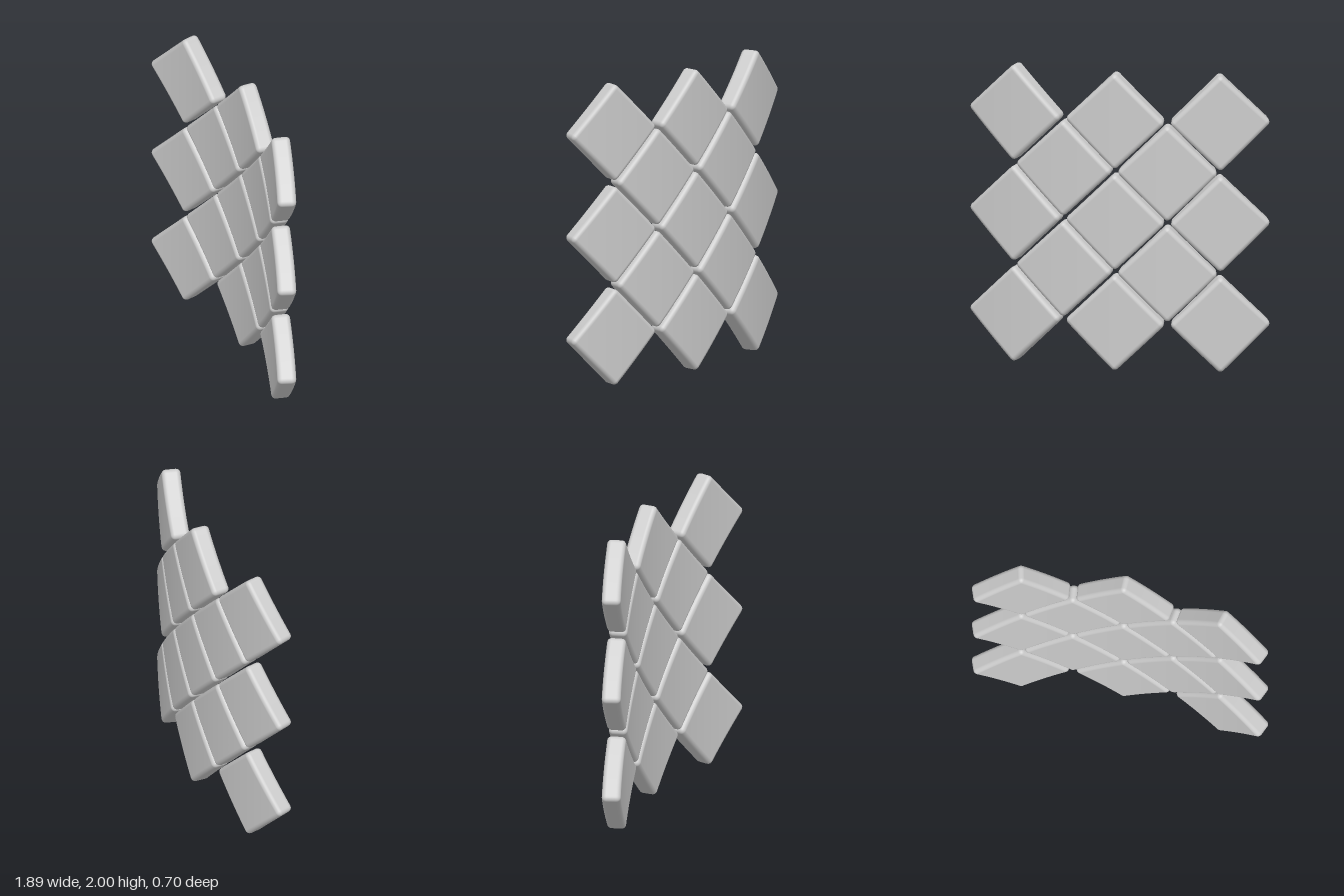
import * as THREE from 'three';

const SIDE = 0.466, DEPTH = 0.125, ROUND = 0.03; // tile size and edge radius
const PITCH = 0.683;                             // spacing along rows and columns
const RADIUS = 2.6375, AXIS_X = -0.77, AXIS_Z = 2.345; // vertical axis the panel bends around
const EDGE = 3;                                  // segments across each rounded edge

// Moves an even grid coordinate (-1..1) so the outer segments fall within the rounded edge
function spread(t, segments, half) {
  const i = Math.round((t + 1) / 2 * segments), inner = segments - 2 * EDGE, core = half - ROUND;
  if (i < EDGE) return -half + ROUND * i / EDGE;
  if (i > segments - EDGE) return half - ROUND * (segments - i) / EDGE;
  return core * (2 * (i - EDGE) / inner - 1);
}

// Rounded square tile stood on its corner, placed at arc length u and height y, then bent
function tileGeometry(u, y) {
  const n = 2 * EDGE + 10, m = 2 * EDGE + 2;
  const geometry = new THREE.BoxGeometry(2, 2, 2, n, n, m);
  const pos = geometry.attributes.position, nor = geometry.attributes.normal;
  const half = new THREE.Vector3(SIDE / 2, SIDE / 2, DEPTH / 2);
  const core = half.clone().subScalar(ROUND), coreMin = core.clone().negate();
  const p = new THREE.Vector3(), c = new THREE.Vector3(), d = new THREE.Vector3();
  const Y = new THREE.Vector3(0, 1, 0), Z = new THREE.Vector3(0, 0, 1);
  for (let i = 0; i < pos.count; i++) {
    p.set(
      spread(pos.getX(i), n, half.x),
      spread(pos.getY(i), n, half.y),
      spread(pos.getZ(i), m, half.z)
    );
    // round the edges, then turn to a diamond
    c.copy(p).clamp(coreMin, core);
    d.subVectors(p, c).normalize();
    p.copy(c).addScaledVector(d, ROUND).applyAxisAngle(Z, Math.PI / 4);
    d.applyAxisAngle(Z, Math.PI / 4);
    // wrap around the vertical axis
    const angle = (u + p.x) / RADIUS, r = RADIUS - p.z;
    pos.setXYZ(i, AXIS_X + r * Math.sin(angle), y + p.y, AXIS_Z - r * Math.cos(angle));
    d.applyAxisAngle(Y, -angle);
    nor.setXYZ(i, d.x, d.y, d.z);
  }
  return geometry;
}

export function createModel() {
  const model = new THREE.Group();
  model.name = 'curvedTilePanel';
  const material = new THREE.MeshStandardMaterial({ color: 0xcccccc });
  const addGrid = (name, count, u0, y0) => {
    const group = new THREE.Group();
    group.name = name;
    for (let row = 0; row < count; row++) {
      for (let col = 0; col < count; col++) {
        const tile = new THREE.Mesh(tileGeometry(u0 + col * PITCH, y0 + row * PITCH), material);
        tile.name = 'diamondTile';
        group.add(tile);
      }
    }
    model.add(group);
  };
  // Three by three main tiles, with two by two tiles nested in the gaps
  addGrid('mainTiles', 3, 0.132, 0.317);
  addGrid('nestedTiles', 2, 0.132 + PITCH / 2, 0.317 + PITCH / 2);
  return model;
}
